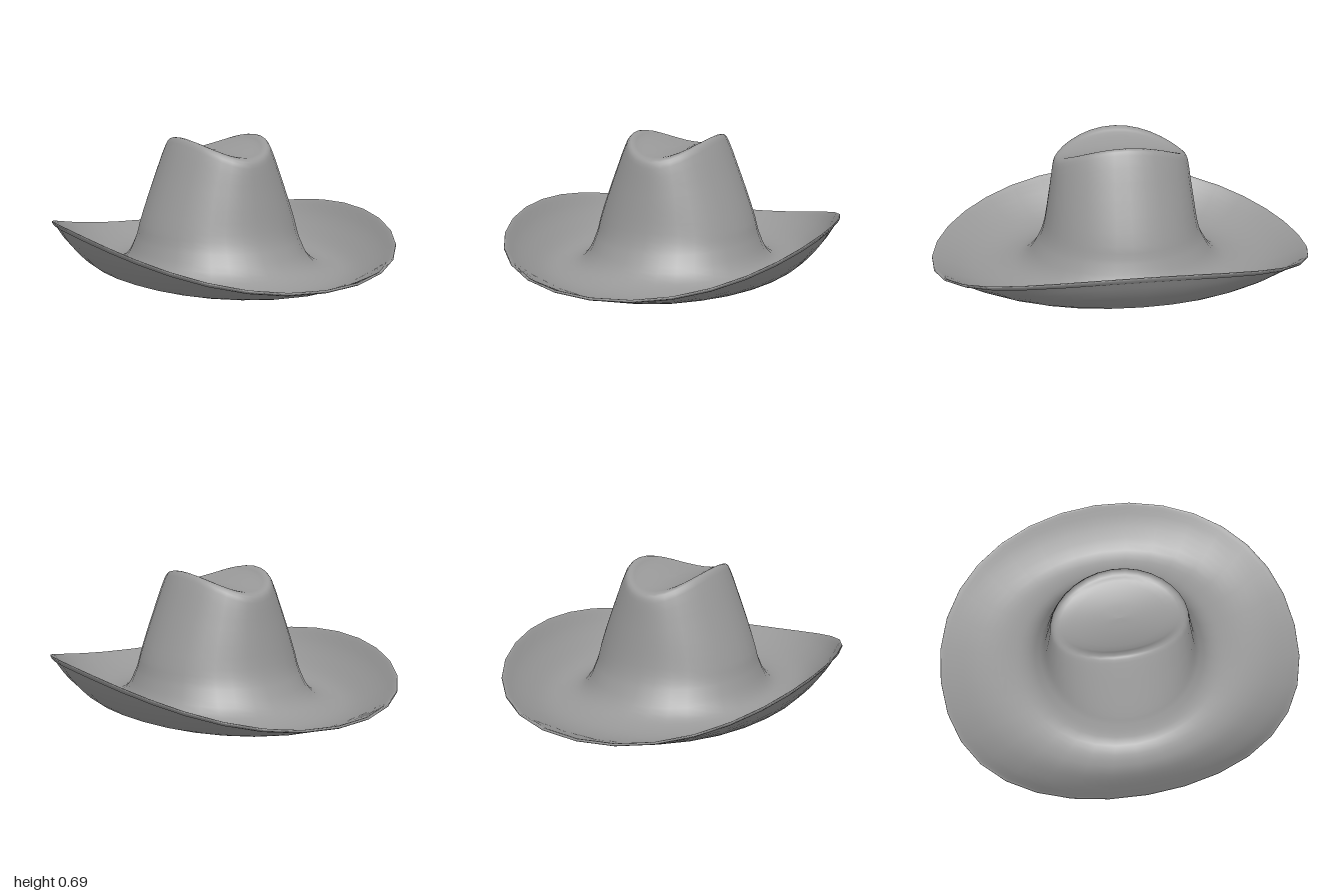
import * as THREE from 'three';

const SIDES = 32; // vertices around each ring
const SUB = 2; // spline rows between two profile points

// Profile from brim edge to crown centre:
// [half depth, height at front/back, half width, height at the sides]
const brimProfile = [
  [0.975, 0.076, 0.819, 0.248], // thin rolled lip under the edge
  [0.998, 0.086, 0.835, 0.272],
  [0.996, 0.096, 0.833, 0.28],
  [0.97, 0.086, 0.815, 0.248],
  [0.92, 0.064, 0.777, 0.178],
  [0.84, 0.031, 0.71, 0.095],
  [0.76, 0.011, 0.65, 0.041],
  [0.68, 0.004, 0.592, 0.022],
  [0.6, 0.014, 0.535, 0.026],
  [0.54, 0.035, 0.492, 0.048],
  [0.49, 0.075, 0.46, 0.092],
  [0.455, 0.127, 0.438, 0.147],
];
const crownProfile = [
  [0.427, 0.18, 0.424, 0.19],
  [0.406, 0.25, 0.41, 0.25],
  [0.387, 0.36, 0.365, 0.38],
  [0.368, 0.48, 0.3, 0.55],
  [0.356, 0.56, 0.25, 0.672],
  [0.345, 0.592, 0.23, 0.699],
  [0.322, 0.608, 0.205, 0.693],
];
// Saddle-shaped dent in the top of the crown
const dentProfile = [0.8, 0.55, 0.28, 0].map((t) => [
  0.347 * t, 0.625 - 0.022 * t * t, 0.23 * t, 0.625 + 0.075 * t * t,
]);

function hatGeometry(profile) {
  const frontCurve = new THREE.CatmullRomCurve3(profile.map((p) => new THREE.Vector3(p[0], p[1], 0)));
  const sideCurve = new THREE.CatmullRomCurve3(profile.map((p) => new THREE.Vector3(p[2], p[3], 0)));
  const rows = (profile.length - 1) * SUB;
  const positions = [];
  const indices = [];
  for (let j = 0; j <= rows; j++) {
    const front = frontCurve.getPoint(j / rows);
    const side = sideCurve.getPoint(j / rows);
    const bulge = 0.2 * front.x * front.x; // the brim curls in most at the sides
    for (let i = 0; i < SIDES; i++) {
      const a = (i / SIDES) * Math.PI * 2;
      const s = Math.sin(a);
      positions.push(
        side.x * s * (1 + bulge * (1 - Math.abs(s))),
        THREE.MathUtils.lerp(front.y, side.y, s * s),
        front.x * Math.cos(a),
      );
      if (j === rows) continue;
      const p = j * SIDES + i;
      const q = j * SIDES + ((i + 1) % SIDES);
      indices.push(p, q, p + SIDES);
      if (j < rows - 1) indices.push(q, q + SIDES, p + SIDES); // last row closes to a point
    }
  }
  const geometry = new THREE.BufferGeometry();
  geometry.setAttribute('position', new THREE.Float32BufferAttribute(positions, 3));
  geometry.setIndex(indices);
  geometry.computeVertexNormals();
  return geometry;
}

export function createModel() {
  const group = new THREE.Group();
  group.name = 'hat';
  // Brim and crown are one continuous thin felt surface, hollow underneath
  const felt = new THREE.MeshStandardMaterial({ color: 0x999999, side: THREE.DoubleSide });
  const body = new THREE.Mesh(hatGeometry([...brimProfile, ...crownProfile, ...dentProfile]), felt);
  body.name = 'brimAndCrown';
  group.add(body);
  return group;
}
